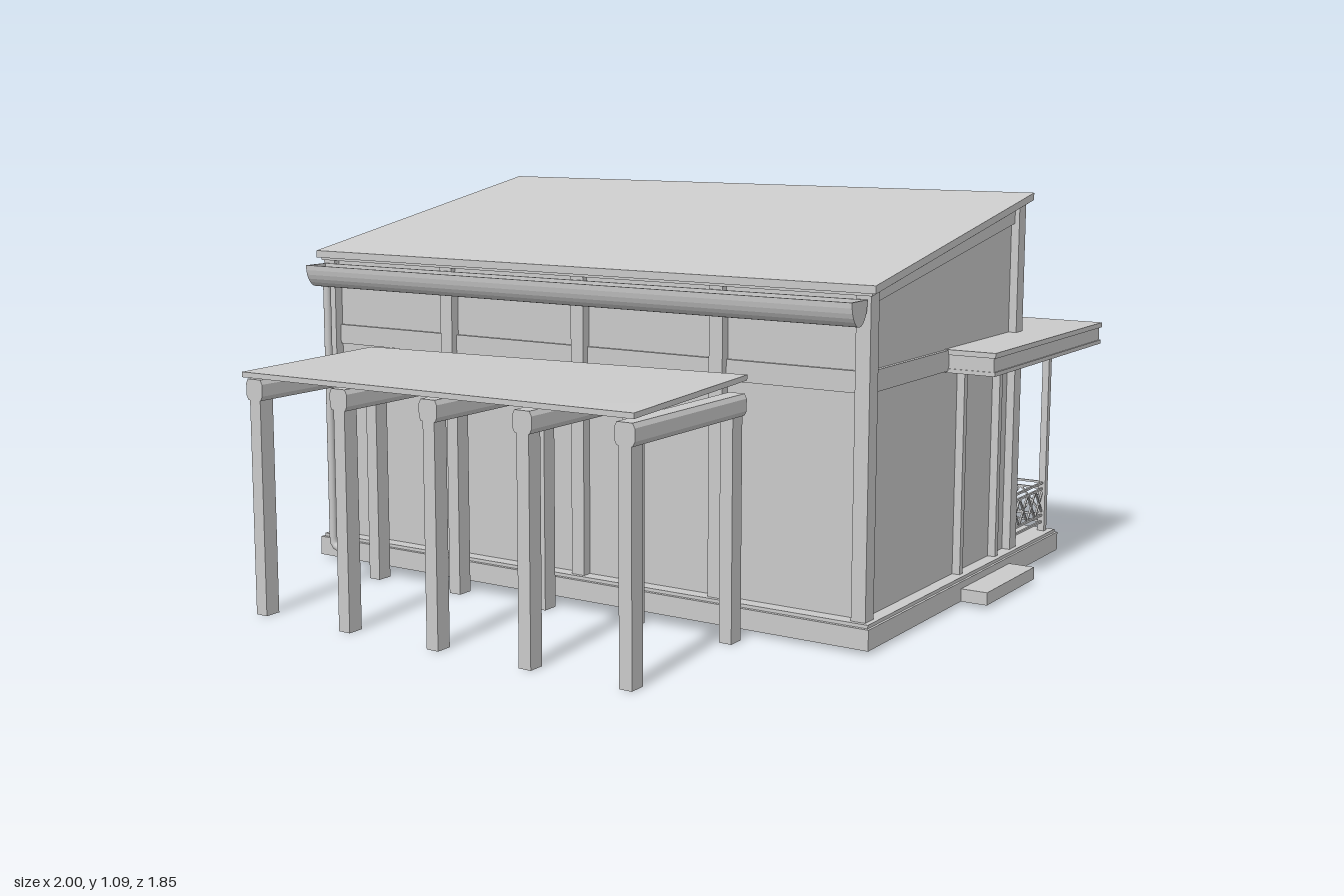
import * as THREE from 'three';

export function createModel() {
  const root = new THREE.Group();
  root.name = 'pavilion';
  const grey = new THREE.MeshStandardMaterial({ color: 0xcacaca });
  grey.name = 'plain grey';

  const add = (name, geometry, parent = root) => {
    const m = new THREE.Mesh(geometry, grey);
    m.name = name;
    parent.add(m);
    return m;
  };
  const group = (name) => {
    const g = new THREE.Group();
    g.name = name;
    root.add(g);
    return g;
  };
  // Box given by its extents on each axis
  const box = (name, x0, x1, y0, y1, z0, z1, parent) => {
    const m = add(name, new THREE.BoxGeometry(x1 - x0, y1 - y0, z1 - z0), parent);
    m.position.set((x0 + x1) / 2, (y0 + y1) / 2, (z0 + z1) / 2);
    return m;
  };
  // Side profile of [z, y] points, extruded from x0 to x1
  const profile = (name, pts, x0, x1, parent) => {
    const shape = new THREE.Shape(pts.map(([z, y]) => new THREE.Vector2(z, y)));
    const g = new THREE.ExtrudeGeometry(shape, { depth: x1 - x0, bevelEnabled: false });
    g.rotateY(-Math.PI / 2);
    g.translate(x1, 0, 0);
    return add(name, g, parent);
  };
  // Thin bar between two points
  const bar = (name, a, b, t, parent) => {
    const p = new THREE.Vector3(...a), q = new THREE.Vector3(...b);
    const m = add(name, new THREE.BoxGeometry(t, t, p.distanceTo(q)), parent);
    m.position.copy(p).add(q).multiplyScalar(0.5);
    m.lookAt(q);
    return m;
  };
  const roofTop = (z) => 0.91 + (0.35 - z) * 0.18;
  const under = (z) => roofTop(z) - 0.028;

  // Floor: a rim that is open below, with a thin porch deck and a deeper house floor
  const floor = group('floor');
  for (const s of [-1, 1]) {
    const x = s * 0.89;
    box('floorRimSide', x - 0.01, x + 0.01, 0.01, 0.064, -0.887, 0.362, floor);
    box('sideStep', Math.min(s * 0.89, s * 0.975), Math.max(s * 0.89, s * 0.975), 0.01, 0.045, -0.52, -0.19, floor);
  }
  box('floorRimFront', -0.88, 0.88, 0.01, 0.064, 0.342, 0.362, floor);
  box('floorRimBack', -0.88, 0.88, 0.01, 0.064, -0.887, -0.867, floor);
  box('porchDeck', -0.893, 0.893, 0.06, 0.073, -0.88, 0.352, floor);
  box('houseFloor', -0.88, 0.88, 0.042, 0.062, -0.16, 0.342, floor);

  // Main walls
  profile('walls', [[-0.585, 0.07], [0.312, 0.07], [0.312, under(0.312)], [-0.585, under(-0.585)]], -0.857, 0.857);

  // Sloping roof with a projecting cover
  profile('mainRoof', [[-0.615, under(-0.615)], [0.345, under(0.345)], [0.345, roofTop(0.345) - 0.018], [-0.615, roofTop(-0.615) - 0.018]], -0.885, 0.885);
  profile('roofCover', [[-0.625, roofTop(-0.625) - 0.02], [0.352, roofTop(0.352) - 0.02], [0.352, roofTop(0.352)], [-0.625, roofTop(-0.625)]], -0.898, 0.898);

  // Posts on the front and back walls
  const frame = group('wallFrame');
  const postXs = [-0.86, -0.43, 0.015, 0.445, 0.86];
  for (const x of postXs) {
    const w = 0.02;
    profile('frontPost', [[0.295, 0.07], [0.34, 0.07], [0.34, under(0.34)], [0.295, under(0.295)]], x - w, x + w, frame);
    profile('backPost', [[-0.613, 0.07], [-0.568, 0.07], [-0.568, under(-0.568)], [-0.613, under(-0.613)]], x - w, x + w, frame);
  }
  // Rails and gable beams
  box('frontRail', -0.86, 0.86, 0.64, 0.695, 0.305, 0.32, frame);
  box('frontTopBeam', -0.86, 0.86, 0.83, 0.885, 0.305, 0.322, frame);
  box('backTopBeam', -0.86, 0.86, 1.0, 1.05, -0.595, -0.58, frame);
  for (const s of [-1, 1]) {
    const a = s > 0 ? 0.855 : -0.867;
    box('sideRail', a, a + 0.012, 0.64, 0.695, -0.15, 0.3, frame);
    profile('gableBeam', [[-0.57, under(-0.57) - 0.045], [0.3, under(0.3) - 0.032], [0.3, under(0.3)], [-0.57, under(-0.57)]], a, a + 0.012, frame);
    const m = s * 0.867;
    for (const z of [-0.235, -0.475]) box('sideMullion', m - 0.012, m + 0.012, 0.07, 0.64, z - 0.01, z + 0.01, frame);
  }
  // Upright divisions of the back wall under the porch
  for (let i = 1; i < 12; i++) {
    const x = -0.86 + i * 1.72 / 12;
    box('backMullion', x - 0.012, x + 0.012, 0.07, 0.64, -0.606, -0.58, frame);
  }

  // Flat porch roof with a channel-shaped edge
  const porch = group('porch');
  box('porchRoof', -1, 1, 0.683, 0.697, -0.925, -0.142, porch);
  box('porchFascia', -0.994, 0.994, 0.645, 0.685, -0.919, -0.147, porch);
  box('porchSoffit', -0.998, 0.998, 0.635, 0.646, -0.923, -0.144, porch);

  // Porch posts
  const n = 5, zp = -0.85, xp = 0.865;
  for (let i = 0; i <= n; i++) {
    const x = -xp + i * 2 * xp / n;
    box('porchPost', x - 0.01, x + 0.01, 0.07, 0.64, zp - 0.01, zp + 0.01, porch);
  }
  // Lattice railing along a run from a to b, given as [x, z]
  const railing = (a, b, cells) => {
    const at = (t, y) => [a[0] + (b[0] - a[0]) * t, y, a[1] + (b[1] - a[1]) * t];
    for (const y of [0.1, 0.12, 0.2, 0.218]) bar('rail', at(0, y), at(1, y), 0.006, porch);
    for (let i = 0; i < cells; i++) {
      bar('lattice', at(i / cells, 0.12), at((i + 1) / cells, 0.2), 0.005, porch);
      bar('lattice', at(i / cells, 0.2), at((i + 1) / cells, 0.12), 0.005, porch);
    }
  };
  for (let i = 0; i < n; i++) {
    railing([-xp + i * 2 * xp / n, zp], [-xp + (i + 1) * 2 * xp / n, zp], 5);
  }
  for (const s of [-1, 1]) railing([s * xp, -0.61], [s * xp, zp], 4);

  // Half-round gutter with closed ends
  const arc = (rz, ry) => Array.from({ length: 15 }, (_, i) => {
    const t = Math.PI + Math.PI * i / 14;
    return [0.384 + rz * Math.cos(t), 0.874 + ry * Math.sin(t)];
  });
  const drain = group('drainage');
  const outer = arc(0.041, 0.063);
  profile('gutter', [...outer, ...arc(0.035, 0.056).reverse()], -0.868, 0.868, drain);
  for (const x of [-0.872, 0.866]) profile('gutterEnd', outer, x, x + 0.006, drain);

  // Downpipe with an elbow at the foot
  const path = new THREE.CurvePath();
  const v = (x, y) => new THREE.Vector3(x, y, 0.38);
  path.add(new THREE.LineCurve3(v(-0.835, 0.82), v(-0.835, 0.065)));
  path.add(new THREE.QuadraticBezierCurve3(v(-0.835, 0.065), v(-0.835, 0.043), v(-0.8, 0.043)));
  add('downpipe', new THREE.TubeGeometry(path, 60, 0.011, 12), drain);
  const outlet = add('pipeOutlet', new THREE.CylinderGeometry(0.014, 0.014, 0.01, 12), drain);
  outlet.rotation.z = Math.PI / 2;
  outlet.position.set(-0.802, 0.043, 0.38);

  // Free-standing front canopy: five post pairs with chamfered beams
  const canopy = group('canopy');
  const beamEnd = [[-0.022, 0.575], [0.022, 0.575], [0.028, 0.587], [0.028, 0.618], [0.022, 0.63], [-0.022, 0.63], [-0.028, 0.618], [-0.028, 0.587]];
  for (const x of [-0.6, -0.31, -0.02, 0.265, 0.555]) {
    for (const z of [0.445, 0.893]) box('canopyPost', x - 0.018, x + 0.018, 0, 0.58, z - 0.023, z + 0.023, canopy);
    const shape = new THREE.Shape(beamEnd.map((p) => new THREE.Vector2(...p)));
    const g = new THREE.ExtrudeGeometry(shape, { depth: 0.5, bevelEnabled: false });
    g.translate(x, 0, 0.418);
    add('canopyBeam', g, canopy);
  }
  // Canopy roof, rising slightly towards its back left corner
  const plate = new THREE.BoxGeometry(1.22, 0.014, 0.505);
  plate.translate(-0.025, 0, 0.6725);
  const p = plate.attributes.position;
  for (let i = 0; i < p.count; i++) {
    const u = (p.getX(i) + 0.635) / 1.22, w = (0.925 - p.getZ(i)) / 0.505;
    p.setY(i, p.getY(i) + 0.641 + 0.007 * u + 0.008 * w + 0.015 * u * w);
  }
  plate.computeVertexNormals();
  add('canopyRoof', plate, canopy);

  return root;
}
